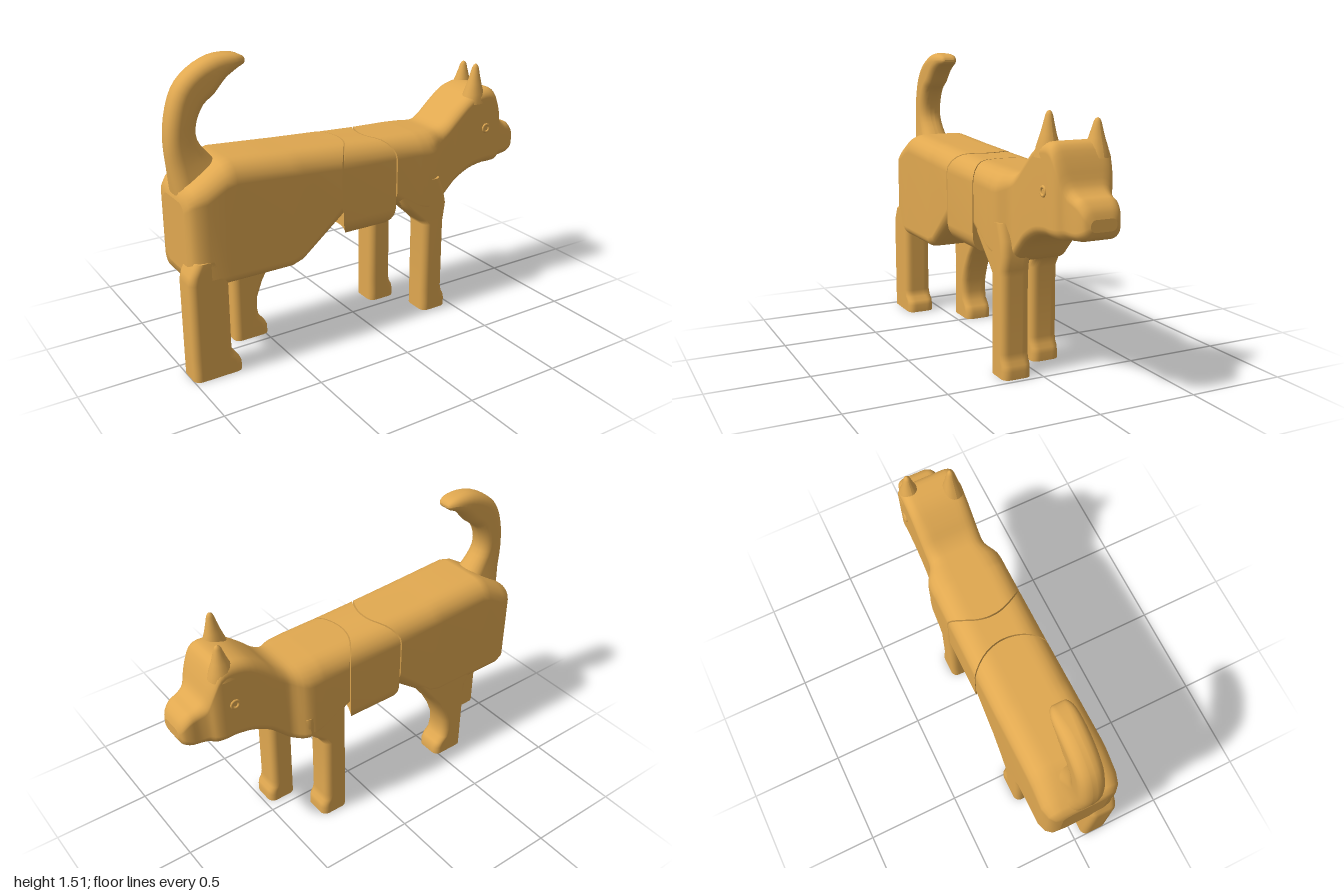
import * as THREE from 'three';

const K = 5, M = 7; // points per rounded corner, points along the flat top and bottom
const material = new THREE.MeshStandardMaterial({ color: 0xe0a850 });

// Rounded-rectangle ring. Sweep direction (cos a, sin a) lies in the xy plane;
// h = half height across the sweep, w = half width in z, rTop / rBot = corner radii.
function ring({ x, y, z = 0, a = 0, h, w, rTop = 0.04, rBot = rTop, bulge = 0 }) {
  const uv = [];
  const corner = (su, sv, r, start) => {
    const q = Math.min(r, h, w);
    for (let i = 0; i <= K; i++) {
      const t = start + (i / K) * Math.PI / 2;
      uv.push([su * (w - q) + q * Math.cos(t), sv * (h - q) + q * Math.sin(t)]);
    }
  };
  const flat = (from, sv, r) => {
    const e = w - Math.min(r, h, w);
    for (let i = 1; i <= M; i++) uv.push([from * e * (1 - 2 * i / (M + 1)), sv * h]);
  };
  corner(1, 1, rTop, 0);
  flat(1, 1, rTop);
  corner(-1, 1, rTop, Math.PI / 2);
  corner(-1, -1, rBot, Math.PI);
  flat(-1, -1, rBot);
  corner(1, -1, rBot, Math.PI * 1.5);
  return uv.map(([u, v]) => [
    x - Math.sin(a) * v + bulge * (1 - (u / 0.2) ** 2), y + Math.cos(a) * v, z + u]);
}

// Skin a row of rings and close both ends with strips.
function loft(name, specs) {
  const rings = specs.map(ring), n = rings[0].length, last = rings.length - 1;
  const pos = [...rings, rings[0], rings[last]].flat(2), idx = [];
  for (let i = 0; i < last; i++) for (let j = 0; j < n; j++) {
    const a = i * n + j, b = i * n + (j + 1) % n;
    idx.push(a, a + n, b, b, a + n, b + n);
  }
  for (let j = 0; j < n / 2 - 1; j++) {
    const s = (last + 1) * n, e = s + n, c = n - 2 - j, d = n - 1 - j;
    idx.push(s + j, s + j + 1, s + c, s + j, s + c, s + d);
    idx.push(e + j, e + c, e + j + 1, e + j, e + d, e + c);
  }
  const g = new THREE.BufferGeometry();
  g.setAttribute('position', new THREE.Float32BufferAttribute(pos, 3));
  g.setIndex(idx);
  g.computeVertexNormals();
  const mesh = new THREE.Mesh(g, material);
  mesh.name = name;
  return mesh;
}

// Catmull-Rom refinement of every column in a table.
function refine(rows, steps) {
  const out = [], at = i => rows[Math.max(0, Math.min(rows.length - 1, i))];
  for (let i = 0; i < rows.length - 1; i++) for (let s = 0; s < steps; s++) {
    const t = s / steps;
    out.push(rows[i].map((p1, c) => {
      const p0 = at(i - 1)[c], p2 = at(i + 1)[c], p3 = at(i + 2)[c];
      return p1 + 0.5 * t * (p2 - p0 + t * (2 * p0 - 5 * p1 + 4 * p2 - p3 + t * (3 * (p1 - p2) + p3 - p0)));
    }));
  }
  return [...out, rows[rows.length - 1]];
}

// Body row: x, bottom, top, half width, top radius, bottom radius, bulge
const bodyRow = ([x, y0, y1, w, rTop, rBot, bulge = 0]) =>
  ({ x, y: (y0 + y1) / 2, h: (y1 - y0) / 2, w, rTop, rBot, bulge });

// Leg row: y, back x, front x
const leg = (name, z, rows) => loft(name, rows.map(([y, x0, x1]) =>
  ({ x: (x0 + x1) / 2, y, z, a: Math.PI / 2, h: (x1 - x0) / 2, w: 0.075, rTop: 0.035 })));

// Foot and straight shank shared by three legs
const shank = (x, width, toe, top) => [
  [0, x, x + width + toe], [0.04, x, x + width + toe], [0.065, x, x + width + toe * 0.8],
  [0.085, x, x + width + toe * 0.3], [0.12, x, x + width], [top, x, x + width]];

export function createModel() {
  const dog = new THREE.Group();
  dog.name = 'dog';

  // Trunk in three pieces with curved joints
  dog.add(loft('rearBody', [
    [-0.975, 0.53, 0.87, 0.12, 0.05, 0.05],
    [-0.967, 0.49, 0.91, 0.16, 0.06, 0.05],
    [-0.94, 0.465, 0.94, 0.185, 0.07, 0.05],
    [-0.89, 0.46, 0.97, 0.2, 0.09, 0.05],
    [-0.79, 0.46, 1.035, 0.2, 0.1, 0.05],
    [-0.74, 0.46, 1.048, 0.2, 0.1, 0.05],
    [-0.46, 0.46, 1.03, 0.2, 0.1, 0.05],
    [-0.4, 0.48, 1.026, 0.2, 0.1, 0.05],
    [-0.188, 0.67, 1.012, 0.2, 0.1, 0.05, 0.09]].map(bodyRow)));
  dog.add(loft('middleBody', [
    [-0.18, 0.54, 1.01, 0.2, 0.1, 0.1, 0.09],
    [0.13, 0.54, 1.0, 0.2, 0.1, 0.1, -0.09]].map(bodyRow)));
  dog.add(loft('frontBodyAndHead', [
    [0.138, 0.67, 1.0, 0.2, 0.1, 0.05, -0.09],
    ...refine([
      [0.28, 0.58, 0.995, 0.2, 0.1, 0.05],
      [0.37, 0.56, 0.99, 0.197, 0.1, 0.05],
      [0.44, 0.57, 0.99, 0.155, 0.07, 0.05],
      [0.5, 0.625, 1.02, 0.15, 0.06, 0.05],
      [0.56, 0.68, 1.075, 0.15, 0.06, 0.05],
      [0.65, 0.727, 1.14, 0.15, 0.05, 0.05],
      [0.74, 0.745, 1.165, 0.15, 0.05, 0.05],
      [0.8, 0.745, 1.15, 0.15, 0.05, 0.05],
      [0.84, 0.745, 1.07, 0.14, 0.05, 0.05],
      [0.87, 0.75, 0.985, 0.12, 0.05, 0.05],
      [0.91, 0.755, 0.95, 0.107, 0.04, 0.04],
      [0.95, 0.76, 0.935, 0.103, 0.04, 0.04],
      [0.985, 0.775, 0.9, 0.09, 0.04, 0.04],
      [1.0, 0.805, 0.86, 0.065, 0.025, 0.025]], 3)].map(bodyRow)));

  // Legs, set in a walking stride
  dog.add(leg('leftHindLeg', 0.125, [...shank(-1, 0.2, 0.05, 0.5), [0.54, -0.99, -0.82], [0.6, -0.96, -0.84]]));
  dog.add(leg('rightHindLeg', -0.123, [
    [0, -0.67, -0.48], [0.04, -0.67, -0.48], [0.07, -0.67, -0.495], [0.1, -0.67, -0.525],
    [0.15, -0.67, -0.535], [0.22, -0.67, -0.53], [0.3, -0.67, -0.5], [0.38, -0.67, -0.455],
    [0.44, -0.675, -0.41], [0.48, -0.7, -0.38], [0.56, -0.7, -0.32]]));
  dog.add(leg('leftFrontLeg', 0.124, [...shank(0.32, 0.13, 0.025, 0.5),
    [0.53, 0.295, 0.455], [0.6, 0.22, 0.465], [0.67, 0.15, 0.45], [0.75, 0.15, 0.42]]));
  dog.add(leg('rightFrontLeg', -0.124, [...shank(0.15, 0.13, 0.025, 0.48),
    [0.53, 0.15, 0.31], [0.6, 0.15, 0.39], [0.7, 0.15, 0.4]]));

  // Curled tail: x, y, sweep angle, half thickness, half width, radius
  dog.add(loft('tail', refine([
    [-0.85, 0.93, 1.95, 0.13, 0.09, 0.06],
    [-0.89, 1.03, 1.8, 0.1, 0.072, 0.06],
    [-0.922, 1.13, 1.62, 0.073, 0.065, 0.05],
    [-0.915, 1.23, 1.35, 0.07, 0.065, 0.05],
    [-0.875, 1.33, 1.0, 0.078, 0.065, 0.05],
    [-0.81, 1.39, 0.72, 0.082, 0.065, 0.05],
    [-0.73, 1.445, 0.5, 0.063, 0.065, 0.05],
    [-0.65, 1.467, 0.2, 0.036, 0.06, 0.035],
    [-0.61, 1.467, 0, 0.02, 0.045, 0.02],
    [-0.598, 1.465, 0, 0.005, 0.03, 0.005]], 3)
    .map(([x, y, a, h, w, rTop]) => ({ x, y, a, h, w, rTop }))));

  // Ears and eyes
  for (const [side, s, x, tip] of [['left', 1, 0.7, 1.295], ['right', -1, 0.78, 1.262]]) {
    dog.add(loft(side + 'Ear', [
      [0, 0.07, 0.055], [0.25, 0.056, 0.048], [0.5, 0.039, 0.034], [0.75, 0.025, 0.023],
      [0.9, 0.018, 0.016], [0.97, 0.011, 0.01], [1, 0.002, 0.002]].map(([t, h, w]) => ({
      x: x - 0.012 * (1 - t), y: 1.09 + t * (tip - 1.09), z: s * 0.098,
      a: Math.PI / 2, h, w, rTop: 0.06 }))));
    const eye = new THREE.Mesh(new THREE.TorusGeometry(0.02, 0.007, 8, 20), material);
    eye.position.set(0.745, 0.95, s * 0.15);
    eye.name = side + 'Eye';
    dog.add(eye);
  }
  return dog;
}
